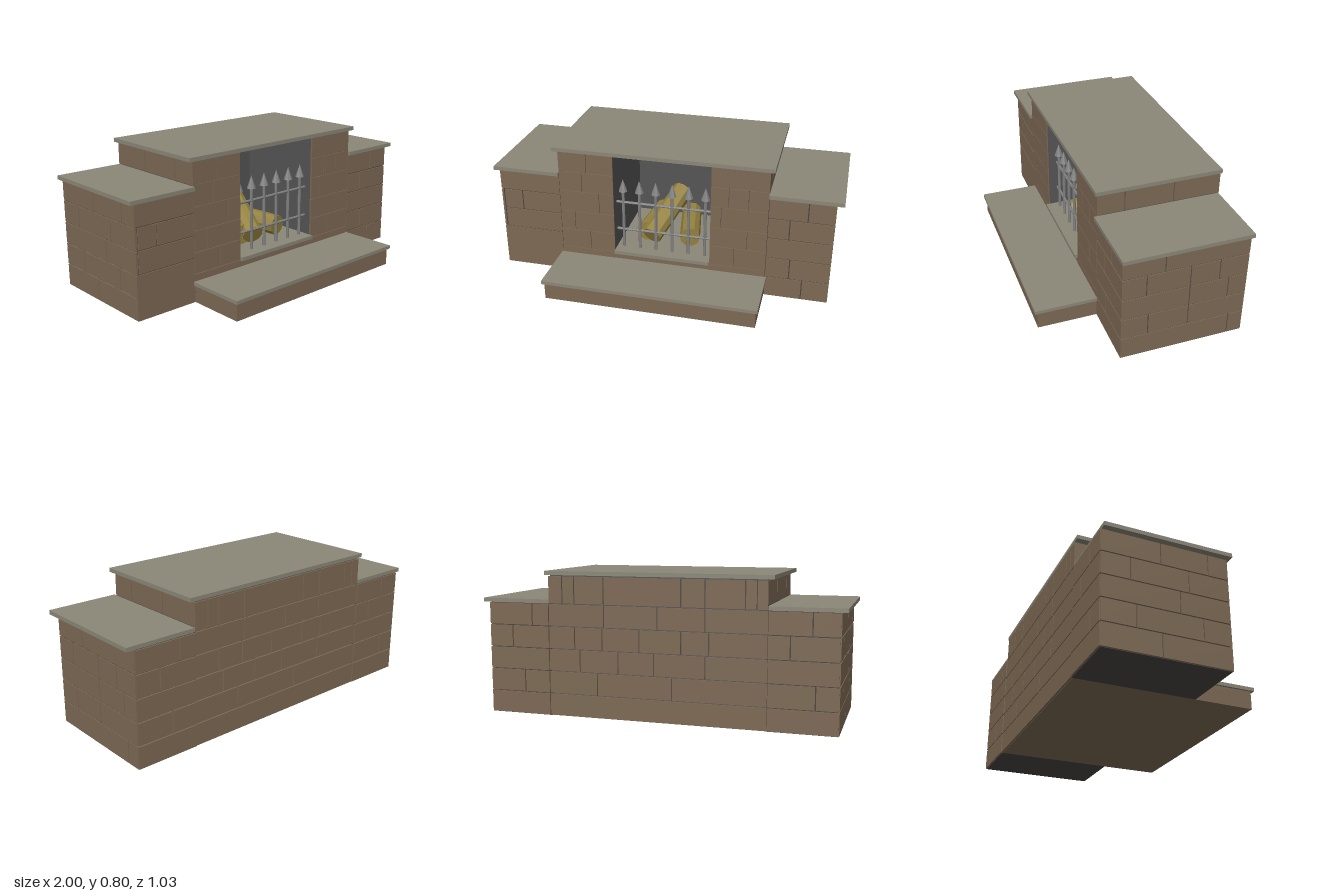
import * as THREE from 'three';

const mat = (color) => new THREE.MeshStandardMaterial({ color, roughness: 0.9, flatShading: true });

export function createModel() {
  const model = new THREE.Group();
  model.name = 'outdoorFireplace';
  const brick = mat(0x7d6954), mortar = mat(0x484542), soot = mat(0x555555);
  const stone = mat(0x8b8878), wood = mat(0x94823f), iron = mat(0x808080);

  // Box given by its two opposite corners
  function block(name, material, x0, x1, y0, y1, z0, z1, parent = model) {
    const mesh = new THREE.Mesh(new THREE.BoxGeometry(x1 - x0, y1 - y0, z1 - z0), material);
    mesh.position.set((x0 + x1) / 2, (y0 + y1) / 2, (z0 + z1) / 2);
    mesh.name = name;
    parent.add(mesh);
    return mesh;
  }

  // Brick facing: each course is [top, ...seam positions]; turn counts quarter turns about y
  function wall(name, turn, dist, u0, u1, y0, courses, gap = 0.006) {
    const group = new THREE.Group();
    group.name = name;
    group.rotation.y = turn * Math.PI / 2;
    let bottom = y0;
    for (const [top, ...seams] of courses) {
      const edges = [u0, ...seams, u1];
      for (let i = 0; i < edges.length - 1; i++) {
        const a = edges[i] + (i ? gap / 2 : 0);
        const b = edges[i + 1] - (i < edges.length - 2 ? gap / 2 : 0);
        block('brick', brick, a, b, bottom + gap / 2, top - gap / 2, dist - 0.012, dist, group);
      }
      bottom = top;
    }
    model.add(group);
  }

  // Solid cores: wings, firebox surround and base
  block('leftWingCore', mortar, 0.595, 0.955, 0, 0.62, -0.505, 0.164);
  block('rightWingCore', mortar, -0.963, -0.6, 0, 0.62, -0.505, 0.164);
  block('leftPillar', soot, 0.283, 0.594, 0.1, 0.775, -0.5, 0.164);
  block('rightPillar', soot, -0.599, -0.283, 0.1, 0.775, -0.5, 0.164);
  block('fireboxBack', soot, -0.283, 0.283, 0.1, 0.775, -0.5, -0.38);
  block('fireboxBase', brick, -0.283, 0.283, 0.1, 0.156, -0.4, 0.168);
  block('base', brick, -0.602, 0.6, 0, 0.1, -0.5, 0.5);

  // Front brickwork
  wall('leftWingFront', 0, 0.17, 0.603, 0.96, 0,
    [[0.125, 0.81], [0.25, 0.735], [0.375], [0.497, 0.72], [0.62, 0.815]]);
  wall('rightWingFront', 0, 0.17, -0.97, -0.607, 0, [[0.25], [0.375, -0.955], [0.497, -0.955, -0.84], [0.62]]);
  wall('leftPillarFront', 0, 0.17, 0.28, 0.6, 0.1,
    [[0.16], [0.28, 0.42], [0.4, 0.49], [0.53, 0.34], [0.65, 0.38, 0.49], [0.775]], 0.003);
  wall('rightPillarFront', 0, 0.17, -0.605, -0.283, 0.1,
    [[0.16], [0.28, -0.43], [0.4, -0.52], [0.53, -0.37], [0.65, -0.47], [0.775, -0.44]], 0.003);

  // Side brickwork
  wall('leftWingSide', 1, 0.96, -0.17, 0.51, 0,
    [[0.127, 0.43], [0.25, -0.025, 0.195], [0.373, 0.195, 0.41],
      [0.497, -0.04, 0.195, 0.355], [0.62, 0.055]]);
  wall('rightWingSide', -1, 0.97, -0.51, 0.17, 0,
    [[0.127, -0.2], [0.25, -0.33, 0.02], [0.373, -0.1], [0.497, -0.36, -0.05], [0.62, -0.2, 0.06]]);
  wall('upperLeftSide', 1, 0.6, -0.17, 0.51, 0.642, [[0.772, -0.02, 0.25]]);
  wall('upperRightSide', -1, 0.605, -0.51, 0.17, 0.642, [[0.772, -0.25, 0.02]]);

  // Back brickwork (u runs towards -x)
  wall('mainBack', 2, 0.51, -0.6, 0.605, 0,
    [[0.125], [0.25, -0.32, 0.1], [0.373, -0.42, -0.2, 0.0, 0.28],
      [0.497, -0.45, -0.29, -0.08, 0.15, 0.3], [0.62, -0.28, 0.02, 0.28],
      [0.772, -0.52, -0.45, -0.28, 0.15, 0.28, 0.49, 0.55]]);
  wall('leftWingBack', 2, 0.514, -0.957, -0.603, 0,
    [[0.125], [0.25, -0.75], [0.373], [0.497, -0.82], [0.62, -0.7]]);
  wall('rightWingBack', 2, 0.514, 0.608, 0.965, 0,
    [[0.125], [0.25, 0.85], [0.373], [0.497, 0.72], [0.62, 0.83]]);

  // Stone slabs
  block('mainCap', stone, -0.635, 0.625, 0.775, 0.797, -0.507, 0.186);
  block('leftCap', stone, 0.6, 1, 0.62, 0.642, -0.507, 0.186);
  block('rightCap', stone, -1, -0.605, 0.62, 0.642, -0.507, 0.186);
  block('hearthSlab', stone, -0.615, 0.61, 0.1, 0.12, 0.165, 0.515);
  block('fireboxFloor', stone, -0.283, 0.28, 0.156, 0.177, -0.38, 0.186);

  // Rod between two points
  function rod(name, material, a, b, radius, sides) {
    const from = new THREE.Vector3(...a), to = new THREE.Vector3(...b);
    const dir = to.clone().sub(from);
    const mesh = new THREE.Mesh(new THREE.CylinderGeometry(radius, radius, dir.length(), sides), material);
    mesh.position.copy(from).add(to).multiplyScalar(0.5);
    mesh.quaternion.setFromUnitVectors(new THREE.Vector3(0, 1, 0), dir.normalize());
    mesh.name = name;
    model.add(mesh);
  }

  // Firewood
  rod('leaningLog', wood, [-0.09, 0.237, 0.06], [0.025, 0.4, -0.26], 0.06, 10);
  rod('leftLog', wood, [-0.13, 0.238, 0.02], [-0.1, 0.238, -0.3], 0.06, 10);
  rod('rightLog', wood, [0.135, 0.238, 0.03], [0.08, 0.25, -0.28], 0.06, 10);

  // Spear-topped iron grate
  const grateZ = 0.11;
  for (let i = 0; i < 6; i++) {
    const x = -0.243 + i * 0.0965;
    rod('grateBar', iron, [x, 0.165, grateZ], [x, 0.55, grateZ], 0.009, 8);
    const tip = new THREE.Mesh(new THREE.ConeGeometry(0.026, 0.075, 8), iron);
    tip.position.set(x, 0.573, grateZ);
    tip.name = 'spearTip';
    model.add(tip);
  }
  for (const y of [0.29, 0.465]) rod('grateRail', iron, [-0.283, y, grateZ], [0.283, y, grateZ], 0.008, 8);

  return model;
}
